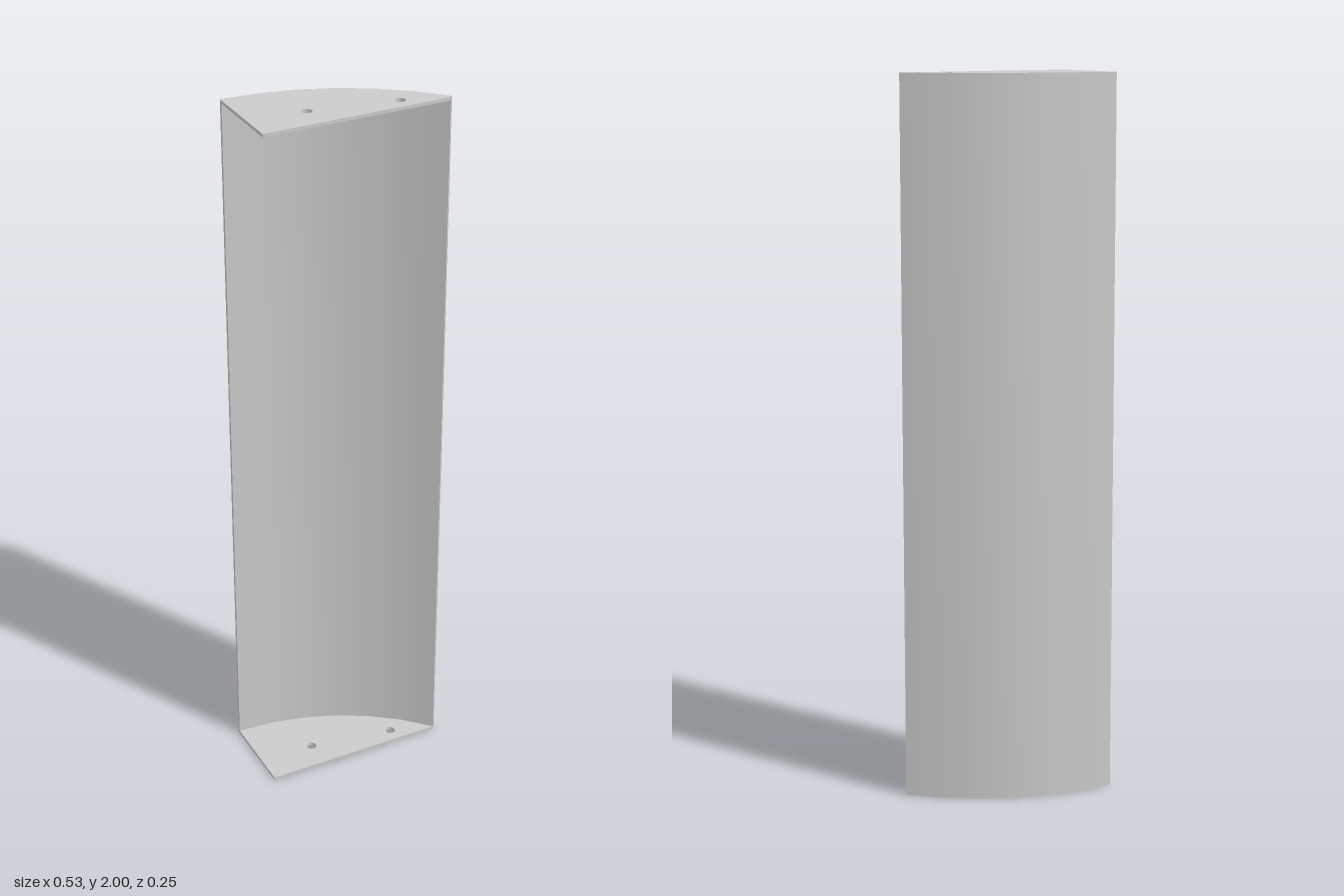
import * as THREE from 'three';
import { toCreasedNormals } from 'three/addons/utils/BufferGeometryUtils.js';

const HEIGHT = 2, THICK = 0.009;
const RADIUS = 0.694, SWEEP = THREE.MathUtils.degToRad(49.5), STEPS = 6;
const CX = -0.264, CZ = 0.569; // centre of the arc
const HOLES = [[-0.105, 0.043], [0.135, 0.083]];

// Points along the arc in plan; shape y is -z
function arcPoints(radius) {
  return Array.from({ length: STEPS + 1 }, (_, i) => {
    const a = (SWEEP * i) / STEPS;
    return new THREE.Vector2(CX + radius * Math.sin(a), -CZ + radius * Math.cos(a));
  });
}

// Plan shape raised from y to y + height
function raise(shape, y, height) {
  const g = new THREE.ExtrudeGeometry(shape, { depth: height, bevelEnabled: false, curveSegments: 24 });
  g.rotateX(-Math.PI / 2).translate(0, y, 0);
  return toCreasedNormals(g, THREE.MathUtils.degToRad(30));
}

export function createModel() {
  const model = new THREE.Group();
  model.name = 'curvedPanel';
  const material = new THREE.MeshStandardMaterial({ color: 0xcccccc });
  const add = (name, geometry) => {
    const mesh = new THREE.Mesh(geometry, material);
    mesh.name = name;
    model.add(mesh);
  };

  const outer = arcPoints(RADIUS), inner = arcPoints(RADIUS - THICK);
  const tip = inner[STEPS];

  // Thin curved wall between the two plates
  const wall = new THREE.Shape([...outer, ...inner.slice().reverse()]);
  add('curvedWall', raise(wall, THICK, HEIGHT - 2 * THICK));

  // End plates with two screw holes each
  const plate = new THREE.Shape([...outer, tip, new THREE.Vector2(CX, tip.y)]);
  for (const [x, z] of HOLES) {
    plate.holes.push(new THREE.Path().absarc(x, -z, 0.014, 0, Math.PI * 2));
  }
  add('bottomPlate', raise(plate, 0, THICK));
  add('topPlate', raise(plate, HEIGHT - THICK, THICK));

  return model;
}
